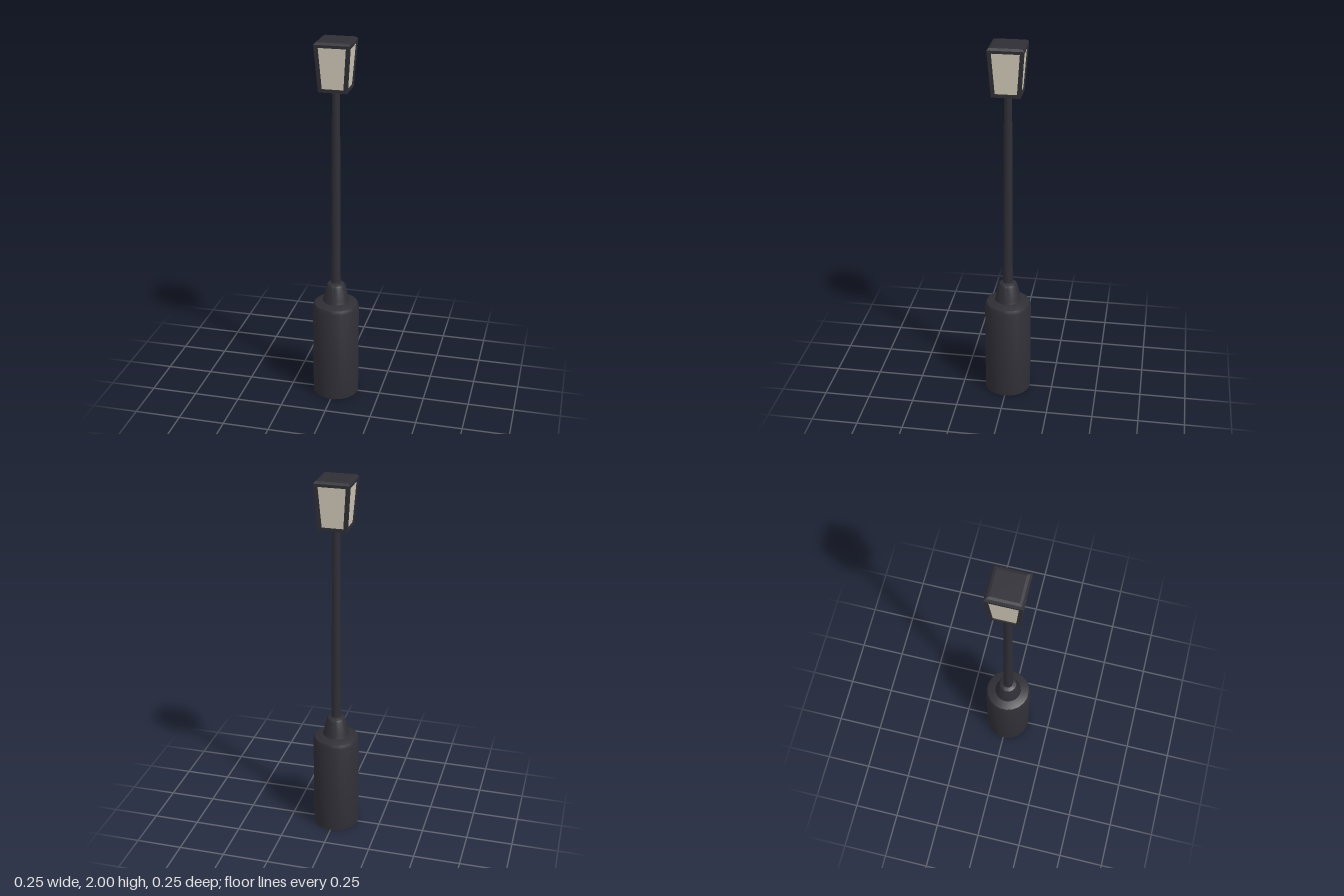
import * as THREE from 'three';
import { toCreasedNormals } from 'three/addons/utils/BufferGeometryUtils.js';

const dark = new THREE.MeshStandardMaterial({ color: 0x2f2e35 });
const darkFlat = new THREE.MeshStandardMaterial({ color: 0x2f2e35, flatShading: true });
const pane = new THREE.MeshStandardMaterial({ color: 0xd0c8b8, flatShading: true });

// Lantern measurements: the half width grows linearly with height
const LOW = 1.74, HIGH = 1.985;
const halfWidth = y => THREE.MathUtils.mapLinear(y, LOW, HIGH, 0.075, 0.093);

function add(group, name, geometry, material) {
  const mesh = new THREE.Mesh(geometry, material);
  mesh.name = name;
  group.add(mesh);
  return mesh;
}

// Square frustum between two heights with the given half widths
function frustum(y0, h0, y1, h1) {
  const g = new THREE.CylinderGeometry(h1 * Math.SQRT2, h0 * Math.SQRT2, y1 - y0, 4);
  return g.rotateY(Math.PI / 4).translate(0, (y0 + y1) / 2, 0);
}

// Round turned part with sharp edges kept
function turned(points, sides) {
  const g = new THREE.LatheGeometry(points.map(p => new THREE.Vector2(...p)), sides);
  return toCreasedNormals(g.rotateY(Math.PI / sides), 0.6);
}

// Leaning corner post that follows the lantern's taper
function cornerPost(sx, sz, y0, y1) {
  const g = new THREE.BoxGeometry(1, 1, 1);
  const p = g.attributes.position;
  const w = 0.02;
  for (let i = 0; i < p.count; i++) {
    const y = p.getY(i) > 0 ? y1 : y0;
    const outer = halfWidth(y);
    p.setXYZ(i,
      sx * (outer - w / 2) + p.getX(i) * w, y,
      sz * (outer - w / 2) + p.getZ(i) * w);
  }
  return g;
}

export function createModel() {
  const model = new THREE.Group();
  model.name = 'streetLamp';

  // Wide base drum with a bevelled shoulder
  add(model, 'base', turned([
    [0, 0], [0.126, 0], [0.126, 0.522], [0.118, 0.541], [0.075, 0.556], [0, 0.556],
  ], 20), dark);

  // Tapered collar joining base and pole
  add(model, 'collar', turned([
    [0.075, 0.55], [0.068, 0.57], [0.053, 0.642], [0.046, 0.655], [0.024, 0.665], [0, 0.665],
  ], 20), dark);

  // Slender pole
  const pole = new THREE.CylinderGeometry(0.021, 0.0265, 1.1, 16);
  add(model, 'pole', pole.translate(0, 1.2, 0), dark);

  // Lantern: floor, panes, posts and bevelled roof
  const lantern = new THREE.Group();
  lantern.name = 'lantern';
  model.add(lantern);
  const sill = 1.757, lintel = 1.97, inset = 0.006;
  add(lantern, 'lanternFloor', frustum(LOW, halfWidth(LOW), sill, halfWidth(sill)), darkFlat);
  add(lantern, 'glass',
    frustum(sill, halfWidth(sill) - inset, lintel, halfWidth(lintel) - inset), pane);
  for (const sx of [-1, 1]) {
    for (const sz of [-1, 1]) {
      add(lantern, 'cornerPost', cornerPost(sx, sz, sill, lintel), darkFlat);
    }
  }
  add(lantern, 'roofRim', frustum(lintel, halfWidth(lintel), HIGH, halfWidth(HIGH)), darkFlat);
  add(lantern, 'roofBevel', frustum(HIGH, halfWidth(HIGH), 1.996, 0.083), darkFlat);
  add(lantern, 'roofTop', frustum(1.996, 0.083, 2, 0.07), darkFlat);

  return model;
}
